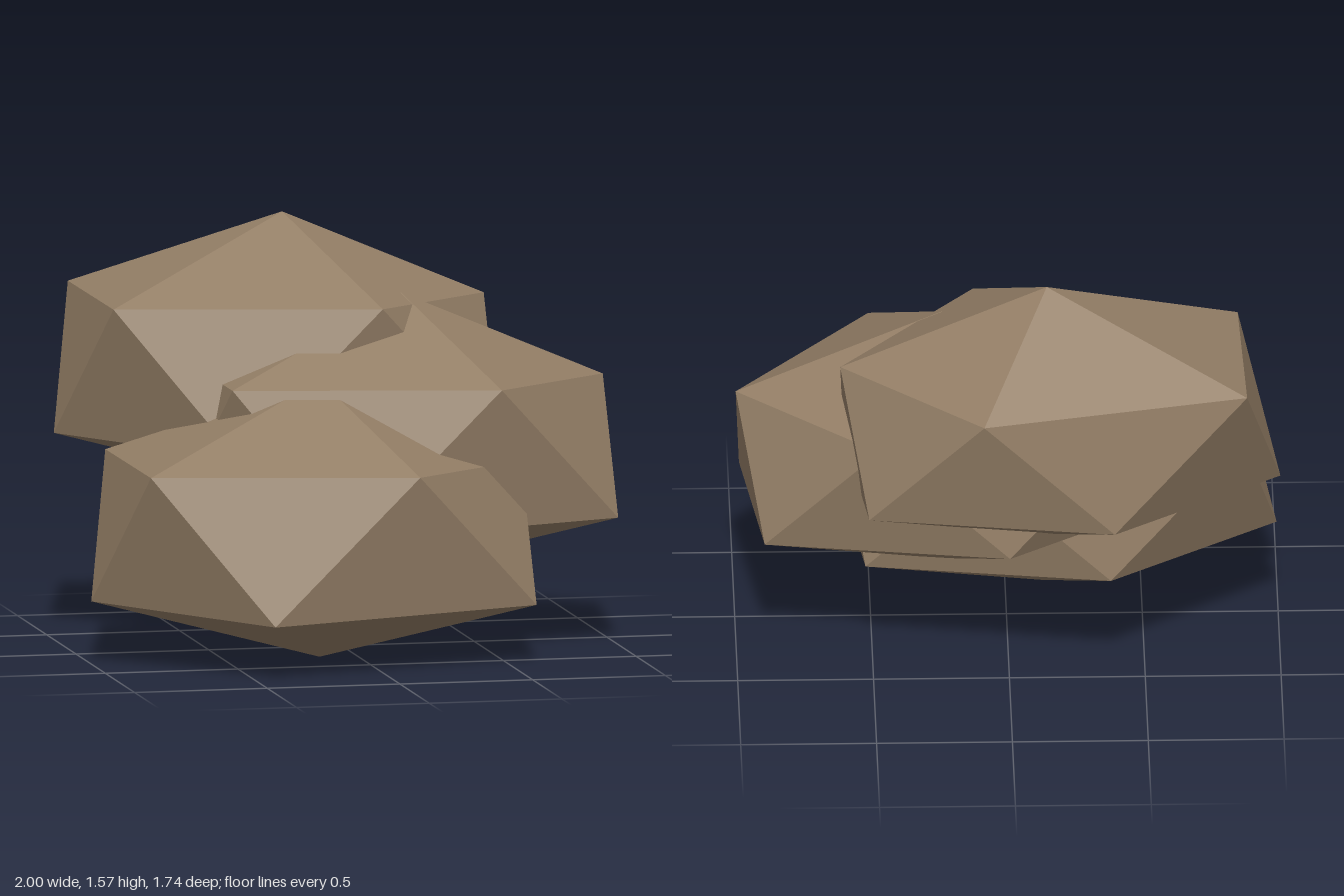
import * as THREE from 'three';

// Irregular 20-sided boulder: top point, upper ring, lower ring, bottom point
function boulderGeometry() {
  const top = [-0.14, 1.565, -0.38];
  const bottom = [-0.14, 0.535, -0.38];
  const upper = [
    [0.62, 1.24, -0.38], [0.12, 1.27, 0.165], [-0.85, 1.27, -0.04],
    [-0.87, 1.28, -0.73], [0.10, 1.24, -0.87],
  ];
  // lower[i] sits between upper[i] and upper[i + 1]
  const lower = [
    [0.60, 0.755, -0.025], [-0.44, 0.74, 0.23], [-1.0, 0.768, -0.38],
    [-0.38, 0.79, -0.87], [0.52, 0.77, -0.70],
  ];

  const corners = [];
  for (let i = 0; i < 5; i++) {
    const j = (i + 1) % 5;
    corners.push(top, upper[j], upper[i]);
    corners.push(upper[i], upper[j], lower[i]);
    corners.push(upper[j], lower[j], lower[i]);
    corners.push(bottom, lower[i], lower[j]);
  }
  const geometry = new THREE.BufferGeometry();
  geometry.setAttribute('position', new THREE.Float32BufferAttribute(corners.flat(), 3));
  geometry.computeVertexNormals(); // unshared corners give flat facets
  return geometry;
}

export function createModel() {
  const group = new THREE.Group();
  group.name = 'rockPile';

  const stone = new THREE.MeshStandardMaterial({ color: 0x927d65, flatShading: true });
  stone.name = 'brown stone';

  // The same boulder, stepped down towards the front
  const geometry = boulderGeometry();
  const rocks = [
    ['backRock', 0, 0, 0],
    ['middleRock', 0.378, -0.268, 0.32],
    ['frontRock', 0, -0.535, 0.64],
  ];
  for (const [name, x, y, z] of rocks) {
    const rock = new THREE.Mesh(geometry, stone);
    rock.name = name;
    rock.position.set(x, y, z);
    group.add(rock);
  }
  return group;
}
